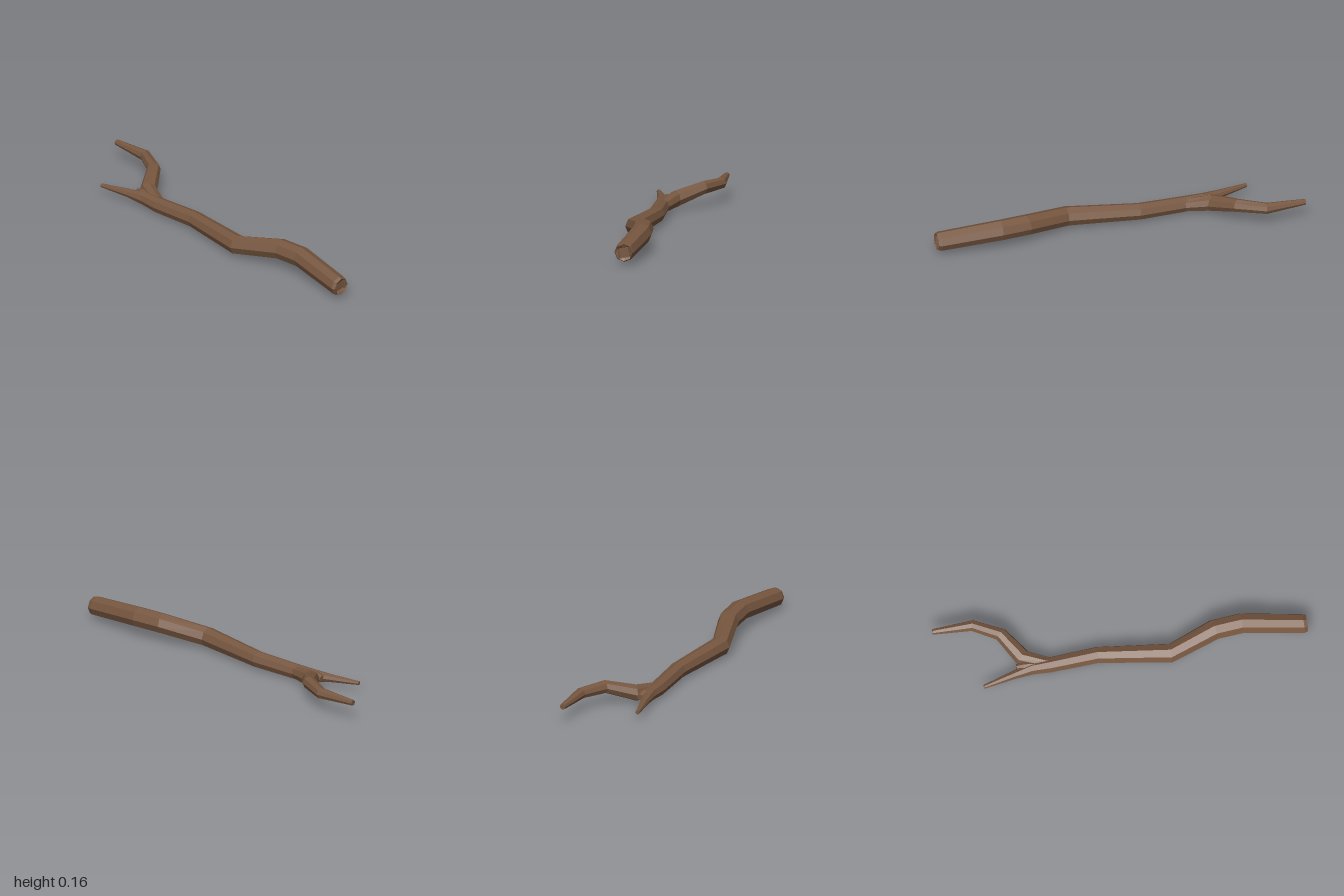
import * as THREE from 'three';

const SIDES = 8;

// One cross-section: centre, radius, heading (yaw), optional square outline
function ring([x, y, z, r, yaw = 0, square = false]) {
  const right = new THREE.Vector3(Math.cos(yaw), 0, Math.sin(yaw));
  const points = [];
  for (let j = 0; j < SIDES; j++) {
    const a = (j / SIDES) * Math.PI * 2 + (square ? 0.2 : 0);
    const rr = square && j % 2 === 0 ? r * Math.SQRT1_2 : r;
    points.push(new THREE.Vector3(x, y + rr * Math.sin(a), z).addScaledVector(right, rr * Math.cos(a)));
  }
  return points;
}

// Faceted limb lofted through its cross-sections, closed at both ends
function limb(name, sections, material) {
  const rings = sections.map(ring);
  const out = [];
  const tri = (...vs) => vs.forEach((v) => out.push(v.x, v.y, v.z));
  const centre = (s) => new THREE.Vector3(s[0], s[1], s[2]);
  const last = rings.length - 1;
  for (let j = 0; j < SIDES; j++) {
    const k = (j + 1) % SIDES;
    for (let i = 0; i < last; i++) {
      const a = rings[i], b = rings[i + 1];
      tri(a[j], b[j], b[k]);
      tri(a[j], b[k], a[k]);
    }
    tri(centre(sections[0]), rings[0][j], rings[0][k]);
    tri(centre(sections[last]), rings[last][k], rings[last][j]);
  }
  const geometry = new THREE.BufferGeometry();
  geometry.setAttribute('position', new THREE.Float32BufferAttribute(out, 3));
  geometry.computeVertexNormals();
  const mesh = new THREE.Mesh(geometry, material);
  mesh.name = name;
  return mesh;
}

export function createModel() {
  const group = new THREE.Group();
  group.name = 'stick';
  const bark = new THREE.MeshStandardMaterial({ color: 0x76563f, flatShading: true });
  bark.name = 'bark brown';

  // Main stem with a square recess in its cut end, tapering into the short twig
  group.add(limb('stem', [
    [-0.096, 0.072, 0.98, 0.037, 0, true],
    [-0.096, 0.072, 0.99, 0.041, 0, true],
    [-0.095, 0.074, 0.998, 0.047],
    [-0.095, 0.074, 0.98, 0.054],
    [-0.053, 0.108, 0.65, 0.057],
    [-0.065, 0.106, 0.5, 0.057, -0.25],
    [-0.146, 0.066, 0.25, 0.054],
    [-0.09, 0.055, -0.14, 0.046],
    [-0.102, 0.046, -0.4, 0.043],
    [-0.106, 0.05, -0.5, 0.037],
    [-0.13, 0.053, -0.6, 0.024, -0.15],
    [-0.172, 0.053, -0.77, 0.011, -0.2],
  ], bark));

  // Longer side branch that curves up and away from the fork
  group.add(limb('branch', [
    [-0.095, 0.046, -0.4, 0.036, 0.15],
    [-0.044, 0.062, -0.54, 0.047, 0.85],
    [0.09, 0.107, -0.637, 0.037, 0.8],
    [0.165, 0.106, -0.78, 0.031, 0.25],
    [0.163, 0.106, -0.998, 0.016],
  ], bark));

  // Web of wood filling the crotch of the fork
  group.add(limb('forkWeb', [
    [-0.1, 0.048, -0.46, 0.036],
    [-0.092, 0.055, -0.54, 0.033],
    [-0.09, 0.056, -0.58, 0.018],
  ], bark));

  return group;
}
